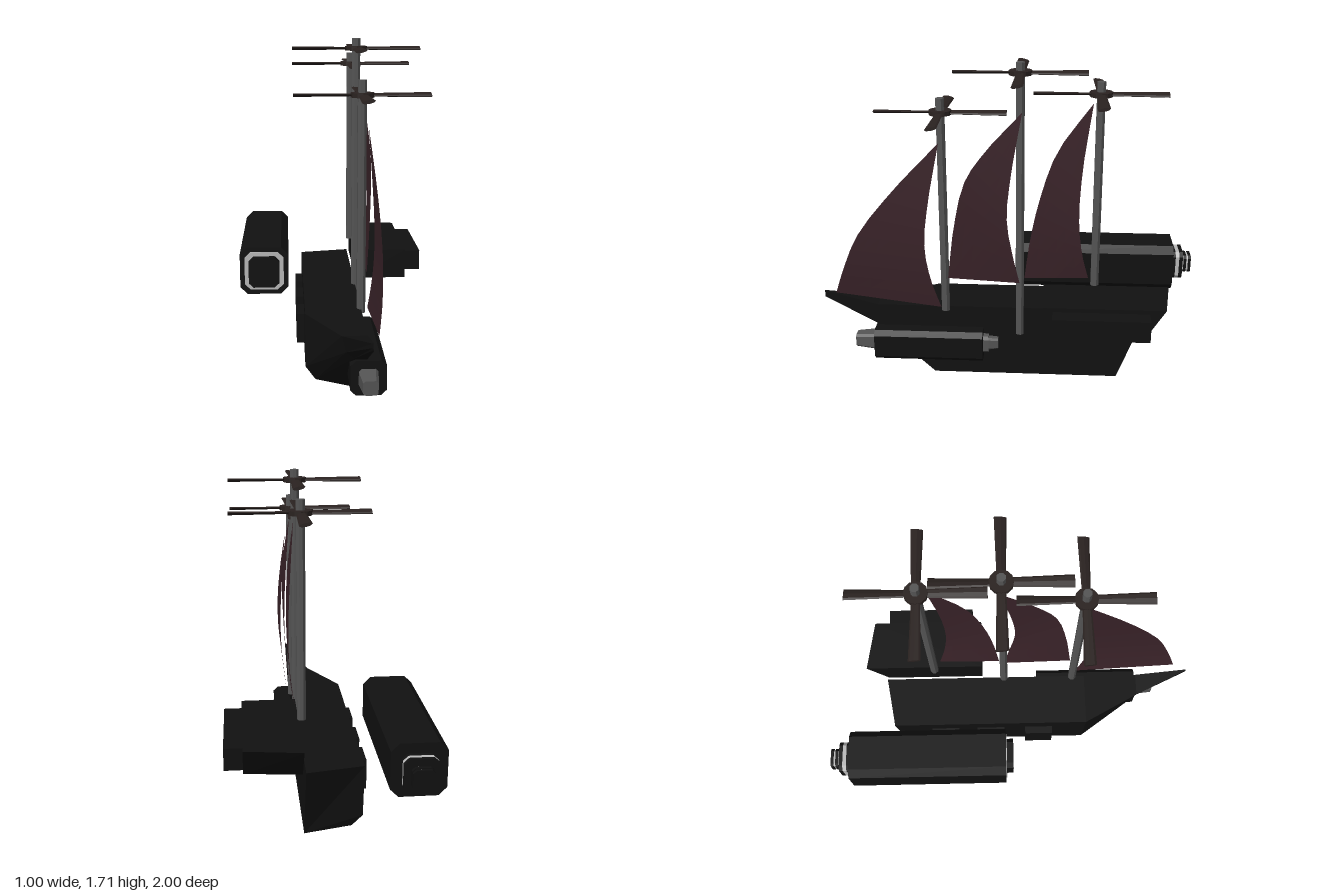
import * as THREE from 'three';

const mat = (color, opts = {}) => new THREE.MeshStandardMaterial({ color, flatShading: true, ...opts });
const black = mat(0x111111);
const grey = mat(0x555555);
const light = mat(0xbbbbbb);
const brown = mat(0x2a2220);
const cloth = mat(0x3a2329, { side: THREE.DoubleSide });

const MAST_X = 0.12;

// Joins equal-length rings of corners into a closed, faceted solid.
function loft(rings) {
  const pos = [];
  const tri = (...pts) => pts.forEach(p => pos.push(...p));
  const n = rings[0].length;
  for (let r = 0; r < rings.length - 1; r++) {
    for (let i = 0; i < n; i++) {
      const j = (i + 1) % n;
      const [a, b, c, d] = [rings[r][i], rings[r][j], rings[r + 1][j], rings[r + 1][i]];
      tri(a, d, c);
      tri(a, c, b);
    }
  }
  const first = rings[0], last = rings[rings.length - 1];
  for (let i = 1; i < n - 1; i++) {
    tri(first[0], first[i], first[i + 1]);
    tri(last[0], last[i + 1], last[i]);
  }
  const g = new THREE.BufferGeometry();
  g.setAttribute('position', new THREE.Float32BufferAttribute(pos, 3));
  g.computeVertexNormals();
  return g;
}

function add(parent, name, geometry, material, x = 0, y = 0, z = 0) {
  const mesh = new THREE.Mesh(geometry, material);
  mesh.name = name;
  mesh.position.set(x, y, z);
  parent.add(mesh);
  return mesh;
}

// Square bar along z with chamfered corners; stations are [z, half size].
function chamferedBar(stations) {
  return loft(stations.map(([z, h]) => {
    const k = h * 0.7;
    return [[k, -h], [-k, -h], [-h, -k], [-h, k], [-k, h], [k, h], [h, k], [h, -k]]
      .map(([x, y]) => [x, y, z]);
  }));
}

function makeHull() {
  return loft([
    [[0.12, 0, -0.57], [-0.11, 0.05, -0.6], [-0.16, 0.12, -0.63], [-0.16, 0.4, -0.67], [0.12, 0.4, -0.72]],
    [[0.12, 0, 0.42], [-0.11, 0.05, 0.41], [-0.16, 0.12, 0.41], [-0.16, 0.4, 0.42], [0.12, 0.4, 0.42]],
    [[0.12, 0.285, 0.72], [0.06, 0.29, 0.72], [0.02, 0.32, 0.72], [0, 0.4, 0.72], [0.12, 0.4, 0.72]],
    [[0.12, 0.44, 1], [0.118, 0.445, 1], [0.115, 0.455, 1], [0.115, 0.475, 1], [0.12, 0.475, 1]],
  ]);
}

// Side cabin with a raked back.
function makeCabin() {
  const section = (x, top, bottom) =>
    [[x, 0.39, -0.17], [x, 0.55, -0.17], [x, 0.55, top], [x, 0.39, bottom]];
  return loft([section(0.135, -0.82, -0.71), section(0.41, -0.78, -0.68)]);
}

// Sail spanned between two edge curves given as [z, y], from foot to head.
function makeSail(outer, inner) {
  const curve = pts => new THREE.CatmullRomCurve3(pts.map(([z, y]) => new THREE.Vector3(0, y, z)));
  const a = curve(outer), b = curve(inner);
  const g = new THREE.PlaneGeometry(1, 1, 6, 10);
  const p = g.attributes.position;
  for (let i = 0; i < p.count; i++) {
    const u = p.getX(i) + 0.5, v = p.getY(i) + 0.5;
    const q = a.getPoint(v).lerp(b.getPoint(v), u);
    p.setXYZ(i, 0.15 + 0.025 * Math.sin(Math.PI * v), q.y, q.z);
  }
  g.computeVertexNormals();
  return g;
}

// Four slightly pitched blades around a hub.
function makeRotor() {
  const rotor = new THREE.Group();
  rotor.name = 'rotor';
  add(rotor, 'rotorHub', new THREE.CylinderGeometry(0.057, 0.057, 0.022, 12), brown);
  for (let i = 0; i < 4; i++) {
    const arm = new THREE.Group();
    arm.name = 'rotorBlade';
    arm.rotation.y = i * Math.PI / 2;
    const g = new THREE.CylinderGeometry(0.03, 0.022, 0.28, 8);
    g.rotateZ(-Math.PI / 2);
    g.scale(1, 0.28, 1);
    const blade = add(arm, 'blade', g, brown, 0.187, 0, 0);
    blade.rotation.x = 0.2;
    rotor.add(arm);
  }
  return rotor;
}

export function createModel() {
  const model = new THREE.Group();
  model.name = 'ship';

  add(model, 'hull', makeHull(), black);
  add(model, 'cabin', makeCabin(), black);
  add(model, 'cabinSide', new THREE.BoxGeometry(0.09, 0.11, 0.48), black, 0.453, 0.475, -0.46);

  // Blocks along the hull side
  for (const z of [-0.385, -0.125, 0.15]) {
    add(model, 'sideBlock', new THREE.BoxGeometry(0.06, 0.155, 0.155), black, -0.17, 0.25, z);
  }

  // Detached engine with stepped ends
  const engine = new THREE.Group();
  engine.name = 'engine';
  engine.position.set(-0.37, 0.48, 0);
  model.add(engine);
  add(engine, 'engineBody', chamferedBar([[-0.89, 0.13], [-0.04, 0.13]]), black);
  add(engine, 'intakeRing', chamferedBar([[-0.06, 0.105], [-0.036, 0.105]]), light);
  add(engine, 'intakeCore', chamferedBar([[-0.06, 0.082], [0, 0.082]]), black);
  const rear = [[-0.91, -0.88, 0.08, black], [-0.93, -0.91, 0.08, light], [-0.95, -0.93, 0.08, black],
    [-0.96, -0.95, 0.045, light], [-0.975, -0.96, 0.05, black], [-0.985, -0.975, 0.045, light],
    [-1, -0.985, 0.05, black]];
  for (const [z0, z1, h, m] of rear) add(engine, 'exhaustRing', chamferedBar([[z0, h], [z1, h]]), m);

  // Forward engine along the keel line
  const gun = new THREE.Group();
  gun.name = 'forwardEngine';
  gun.position.set(0.125, 0.195, 0);
  model.add(gun);
  add(gun, 'forwardBody', chamferedBar([[0.15, 0.085], [0.73, 0.085]]), black);
  add(gun, 'frontNozzle', chamferedBar([[0.72, 0.047], [0.84, 0.035]]), grey);
  add(gun, 'rearNozzle', chamferedBar([[0.07, 0.03], [0.12, 0.035], [0.12, 0.047], [0.16, 0.047]]), grey);

  // Masts with rotors: z, foot, top, rotor height
  for (const [z, foot, top, rotorY] of [[0.35, 0.38, 1.53, 1.46], [-0.045, 0.25, 1.71, 1.66], [-0.435, 0.55, 1.62, 1.56]]) {
    const g = new THREE.CylinderGeometry(0.0225, 0.0225, top - foot, 8);
    g.rotateY(Math.PI / 8);
    add(model, 'mast', g, grey, MAST_X, (foot + top) / 2, z);
    const rotor = makeRotor();
    rotor.position.set(MAST_X, rotorY, z);
    model.add(rotor);
  }

  // Sails
  add(model, 'foreSail', makeSail(
    [[0.93, 0.48], [0.88, 0.62], [0.79, 0.82], [0.6, 1.06], [0.36, 1.31]],
    [[0.37, 0.41], [0.42, 0.58], [0.445, 0.77], [0.42, 1], [0.36, 1.31]]), cloth);
  add(model, 'mainSail', makeSail(
    [[0.33, 0.58], [0.29, 0.88], [0.23, 1.12], [0.13, 1.27], [-0.055, 1.47]],
    [[-0.045, 0.56], [-0.01, 0.72], [0.02, 0.92], [0, 1.15], [-0.055, 1.47]]), cloth);
  add(model, 'aftSail', makeSail(
    [[-0.07, 0.59], [-0.1, 0.82], [-0.15, 1.05], [-0.23, 1.28], [-0.4, 1.52]],
    [[-0.4, 0.6], [-0.365, 0.74], [-0.345, 0.92], [-0.355, 1.18], [-0.4, 1.52]]), cloth);

  return model;
}
